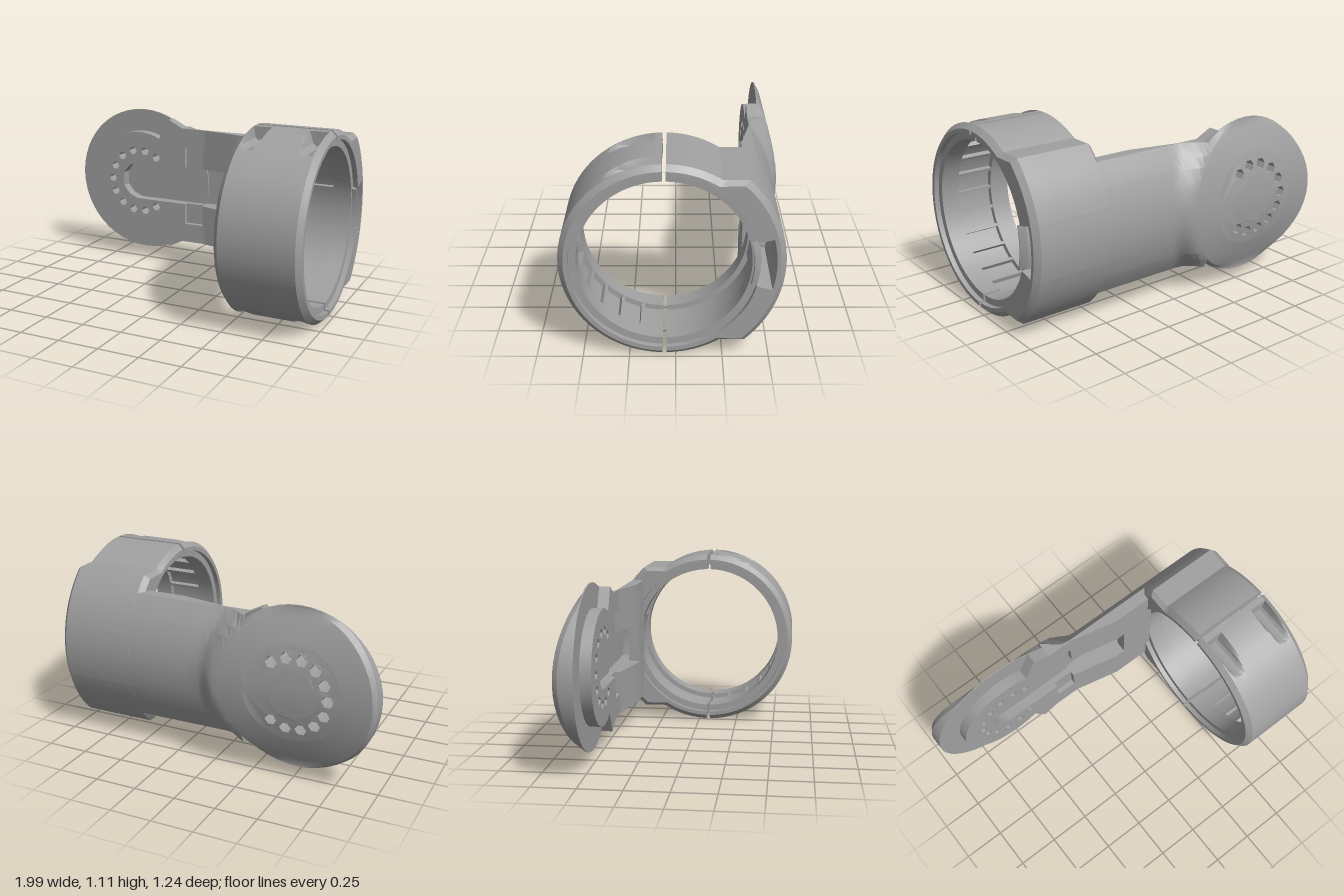
import * as THREE from 'three';
import { toCreasedNormals } from 'three/addons/utils/BufferGeometryUtils.js';

const CY = 0.56, CZ = 0.06;          // ring axis
const DX = -0.52, DR = 0.48;         // disc centre and radius
const R_IN = 0.46, R_OUT = 0.555, R_BACK = 0.637;
const FRONT_Z = -0.505;              // front face of the disc

const grey = new THREE.MeshStandardMaterial({ color: 0xa0a0a0, side: THREE.DoubleSide });
grey.name = 'grey plastic';

function add(group, geometry, name) {
  const mesh = new THREE.Mesh(toCreasedNormals(geometry, 0.5), grey);
  mesh.name = name;
  group.add(mesh);
  return mesh;
}

// Skin between sections; each section has matching lists of points a (outside) and b (inside)
function loft(sections, caps = true) {
  const pos = [], index = [];
  const n = sections[0].a.length, m = 2 * n;
  for (const s of sections) for (const p of [...s.a, ...[...s.b].reverse()]) pos.push(...p);
  for (let i = 0; i < sections.length - 1; i++) {
    for (let k = 0; k < m; k++) {
      const p = i * m + k, q = i * m + (k + 1) % m;
      index.push(p, q, p + m, q, q + m, p + m);
    }
  }
  if (caps) for (const [o, flip] of [[0, false], [(sections.length - 1) * m, true]]) {
    for (let k = 0; k < n - 1; k++) {
      const [p, q, r, s] = [o + k, o + k + 1, o + m - 2 - k, o + m - 1 - k];
      if (flip) index.push(p, q, r, p, r, s);
      else index.push(p, r, q, p, s, r);
    }
  }
  const g = new THREE.BufferGeometry();
  g.setAttribute('position', new THREE.Float32BufferAttribute(pos, 3));
  g.setIndex(index);
  return g;
}

const range = (a, b, n) => Array.from({ length: n + 1 }, (_, i) => a + (b - a) * i / n);
const circle = (x, y, r, n) => range(0, 2 * Math.PI, n).slice(0, n)
  .map(t => new THREE.Vector2(x + r * Math.cos(t), y + r * Math.sin(t)));

// Stations across the ring, mirrored about its middle
const halfXs = [0.49, 0.52, 0.521, 0.526, 0.533, 0.548, 0.571, 0.594, 0.609, 0.616, 0.63, 0.631];
const ringXs = [...halfXs, ...[...halfXs].reverse().map(x => 1.48 - x)];
const edgeDistance = x => Math.min(x, 1.48 - x);

function innerRadius(x) {
  const e = edgeDistance(x);
  if (e < 0.5205) return 0.5;
  return e < 0.6305 ? R_IN : 0.49;
}

function backRadius(t) {
  const a = Math.abs(t - Math.PI);
  if (a < Math.asin(0.47 / R_BACK)) return R_BACK;
  return Math.max(R_OUT, a < Math.PI / 2 ? Math.min(R_BACK, 0.47 / Math.sin(a)) : 0);
}

// Part of the ring; angle 0 faces the front
function ringPart(angles, outer, inner, pockets = false) {
  return loft(angles.map(t => {
    const point = (x, r, cut) => {
      let dy = r * Math.sin(t);
      const dx = edgeDistance(x) - 0.571;
      if (cut && Math.abs(dx) < 0.0451 && R_OUT * Math.cos(t) > 0.05) {
        const limit = 0.51 - Math.sqrt(Math.max(0, 0.045 ** 2 - dx * dx));
        dy = Math.sign(dy) * Math.min(Math.abs(dy), limit);
      }
      return [x, CY + dy, CZ + r * Math.cos(t)];
    };
    return {
      a: ringXs.map(x => point(x, outer(t) - (edgeDistance(x) < 0.5 ? 0.03 : 0), pockets)),
      b: ringXs.map(x => point(x, inner(x), false)),
    };
  }));
}

// Back of the disc: bowed from top to bottom
const discBack = dy => -0.62 + 1.02 - Math.sqrt(1.02 ** 2 - dy * dy);

function discRing(radii) {
  return loft(range(0, 2 * Math.PI, 48).map(t => {
    const at = (r, z) => [DX + r * Math.cos(t), CY + r * Math.sin(t), z];
    return {
      a: radii.map(r => at(r, FRONT_Z)),
      b: radii.map(r => at(r, Math.min(-0.512, discBack(r * Math.sin(t)) + (r === DR ? 0.03 : 0)))),
    };
  }), false);
}

function buildRing(group) {
  const gap = 0.02, step = Math.acos(0.05 / R_OUT);
  // Front half with screw pockets
  const front = [...range(-Math.PI / 2 + gap, Math.PI / 2 - gap, 56),
    step - 0.001, step + 0.001, -step - 0.001, -step + 0.001].sort((a, b) => a - b);
  add(group, ringPart(front, () => R_OUT, innerRadius, true), 'front clamp half');

  // Back half: upper and lower sides, and two layers around the cable slot
  const a1 = Math.PI - Math.asin(0.47 / R_OUT), a2 = Math.PI - Math.asin(0.47 / R_BACK);
  const slot = 0.255;
  const upper = [...range(Math.PI / 2 + gap, a1, 10), ...range(a1, a2, 4).slice(1),
    ...range(a2, Math.PI - slot, 9).slice(1)];
  const lower = upper.map(t => 2 * Math.PI - t).reverse();
  add(group, ringPart(upper, backRadius, innerRadius), 'back clamp upper side');
  add(group, ringPart(lower, backRadius, innerRadius), 'back clamp lower side');
  const middle = range(Math.PI - slot, Math.PI + slot, 8);
  add(group, ringPart(middle, backRadius, () => 0.586), 'cable slot outer wall');
  add(group, ringPart(middle, () => 0.505, x => Math.min(0.47, innerRadius(x))), 'cable slot inner wall');

  // Grip ribs inside the front half
  for (const t of range(-1.3, 1.3, 10)) {
    const rib = add(group, new THREE.BoxGeometry(0.24, 0.02, 0.04), 'grip rib');
    rib.position.set(0.74, CY + 0.483 * Math.sin(t), CZ + 0.483 * Math.cos(t));
    rib.rotation.x = -t;
  }
}

function buildArm(group) {
  const frontZ = x => -0.44 + 0.065 * THREE.MathUtils.clamp((x + 0.05) / 0.3, 0, 1);
  const half = [[0.385, 0], [0.32, 0], [0.261, 0], [0.26, 1], [0.19, 1], [0.126, 1],
    [0.125, 2], [0.06, 2]];                       // 1 = pocket, 2 = channel
  const row = [...half.map(([y, k]) => [-y, k]), [0, 2], ...[...half].reverse()];
  const xs = [-0.2, -0.181, -0.18, -0.14, -0.1, -0.051, -0.05, -0.02, 0.01, 0.04, 0.07, 0.15, 0.25, 0.4, 0.52];
  const sections = xs.map(x => {
    const pocket = x > -0.1805 && x < -0.0505 ? 0.03 : 0;
    return {
      a: row.map(([dy, k]) => [x, CY + dy, k === 2 ? -0.52 : frontZ(x) - (k === 1 ? pocket : 0)]),
      b: row.map(([dy]) => {
        const t = THREE.MathUtils.smoothstep(-Math.hypot(x - DX, dy), -0.59, -0.48);
        const arc = CZ - Math.sqrt(R_BACK ** 2 - dy * dy);
        return [x, CY + dy, THREE.MathUtils.lerp(arc, discBack(dy), t)];
      }),
    };
  });
  add(group, loft(sections), 'arm');
  const cover = add(group, new THREE.BoxGeometry(0.21, 0.252, 0.068), 'channel cover');
  cover.position.set(0.415, CY, -0.41);
}

function buildDisc(group) {
  const holes = r => range(0.3 * Math.PI, 1.7 * Math.PI, 10).map(t =>
    new THREE.Path(circle(DX + 0.21 * Math.cos(t), CY + 0.21 * Math.sin(t), r, 6)));

  add(group, discRing([0.29, 0.36, 0.42, 0.46, DR]), 'disc rim');
  add(group, discRing([0, 0.07, 0.14]), 'disc centre');

  // Drilled band of the disc, its back bent to match the rim
  const band = new THREE.Shape(circle(DX, CY, 0.29, 48));
  band.holes.push(new THREE.Path(circle(DX, CY, 0.14, 48)), ...holes(0.035));
  const bandGeo = new THREE.ExtrudeGeometry(band, { depth: 1, bevelEnabled: false });
  const p = bandGeo.attributes.position;
  for (let i = 0; i < p.count; i++) p.setZ(i, p.getZ(i) > 0.5 ? FRONT_Z : discBack(p.getY(i) - CY));
  bandGeo.computeVertexNormals();
  add(group, bandGeo, 'drilled disc band');

  // Raised plate with flared shoulders and the rounded channel end
  const a = Math.atan2(0.31, 0.15);
  const arc = range(a, 2 * Math.PI - a, 40).map(t => [DX + 0.335 * Math.cos(t), CY + 0.335 * Math.sin(t)]);
  const end = [[-0.2, -0.125], [-0.54, -0.125], [-0.6, -0.1], [-0.645, -0.045],
    [-0.645, 0.045], [-0.6, 0.1], [-0.54, 0.125], [-0.2, 0.125]].map(([x, dy]) => [x, CY + dy]);
  const outline = [[-0.2, 0.945], [-0.3, 0.995], ...arc, [-0.3, 0.125], [-0.2, 0.175], ...end];
  const plate = new THREE.Shape(outline.map(([x, y]) => new THREE.Vector2(x, y)));
  plate.holes.push(...holes(0.028));
  const plateGeo = new THREE.ExtrudeGeometry(plate, { depth: 0.068, bevelEnabled: false });
  add(group, plateGeo.translate(0, 0, -0.508), 'raised plate');
}

export function createModel() {
  const group = new THREE.Group();
  group.name = 'clamp bracket';
  buildRing(group);
  buildArm(group);
  buildDisc(group);
  return group;
}
